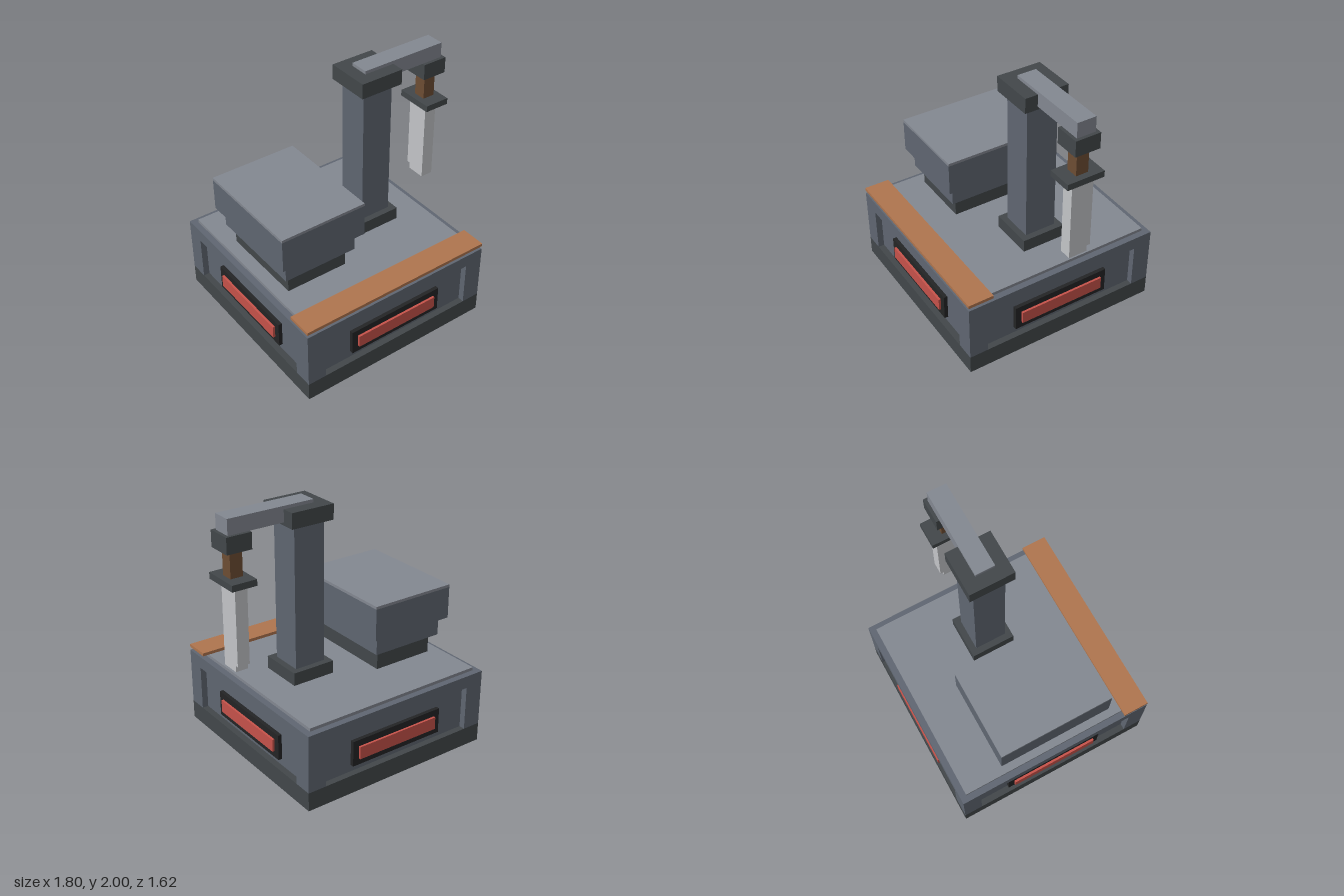
import * as THREE from 'three';

const flat = (name, color) => {
  const m = new THREE.MeshStandardMaterial({ color });
  m.name = name;
  return m;
};

export function createModel() {
  const model = new THREE.Group();
  model.name = 'pedestalWithSwordStand';

  const charcoal = flat('charcoal', 0x42474a);
  const slate = flat('slate', 0x5f6671);
  const lightGrey = flat('lightGrey', 0x838891);
  const copper = flat('copper', 0xaf754e);
  const black = flat('black', 0x232425);
  const red = flat('red', 0xc6524a);
  const brown = flat('brown', 0x6d4d33);
  const steel = flat('steel', 0xc3c5c8);

  // Box given by its extents along x, y and z
  const block = (parent, name, mat, [x0, x1], [y0, y1], [z0, z1]) => {
    const mesh = new THREE.Mesh(new THREE.BoxGeometry(x1 - x0, y1 - y0, z1 - z0), mat);
    mesh.position.set((x0 + x1) / 2, (y0 + y1) / 2, (z0 + z1) / 2);
    mesh.name = name;
    parent.add(mesh);
    return mesh;
  };
  const span = (half) => [-half, half];
  const group = (name, x = 0, z = 0) => {
    const g = new THREE.Group();
    g.name = name;
    g.position.set(x, 0, z);
    model.add(g);
    return g;
  };

  // Square pedestal: plinth, recessed core, corner posts, rim and top plate
  const base = group('pedestal', -0.09);
  block(base, 'plinth', charcoal, span(0.81), [0, 0.15], span(0.81));
  block(base, 'core', slate, span(0.76), [0.15, 0.51], span(0.76));
  block(base, 'rim', slate, span(0.81), [0.51, 0.61], span(0.81));
  block(base, 'topPlate', lightGrey, span(0.76), [0.61, 0.635], span(0.76));
  block(base, 'frontPlank', copper, span(0.81), [0.635, 0.66], [0.605, 0.81]);
  for (const sx of [-1, 1]) {
    for (const sz of [-1, 1]) {
      const post = block(base, 'cornerPost', slate, span(0.075), [0.15, 0.51], span(0.075));
      post.position.x = sx * 0.735;
      post.position.z = sz * 0.735;
    }
  }

  // Glowing window in the recess of each side
  for (let i = 0; i < 4; i++) {
    const side = new THREE.Group();
    side.name = 'sideWindow';
    side.rotation.y = (i * Math.PI) / 2;
    base.add(side);
    block(side, 'windowFrame', black, span(0.405), [0.205, 0.41], [0.76, 0.79]);
    block(side, 'windowPane', red, span(0.355), [0.257, 0.358], [0.79, 0.808]);
  }

  // Stepped anvil-like block, widening upwards
  const anvil = group('steppedBlock', -0.495);
  block(anvil, 'foot', charcoal, span(0.253), [0.635, 0.79], span(0.354));
  block(anvil, 'waist', slate, span(0.303), [0.79, 0.94], span(0.405));
  block(anvil, 'head', slate, span(0.354), [0.94, 1.195], span(0.455));
  block(anvil, 'lid', lightGrey, span(0.354), [1.195, 1.217], span(0.455));

  // Column with foot, cap and overhanging arm
  const stand = group('stand', 0.238, -0.025);
  block(stand, 'columnFoot', charcoal, span(0.177), [0.635, 0.737], span(0.177));
  block(stand, 'column', slate, span(0.127), [0.737, 1.855], span(0.127));
  block(stand, 'columnCap', charcoal, span(0.177), [1.855, 1.975], span(0.177));
  block(stand, 'arm', lightGrey, [-0.076, 0.632], [1.88, 2], span(0.076));

  // Sword hanging from the arm, with a stepped tip
  const sword = group('sword', 0.795, -0.025);
  block(sword, 'pommel', charcoal, span(0.101), [1.753, 1.88], span(0.101));
  block(sword, 'grip', brown, span(0.05), [1.55, 1.753], span(0.05));
  block(sword, 'guard', charcoal, span(0.101), [1.5, 1.55], span(0.152));
  block(sword, 'blade', steel, span(0.05), [0.84, 1.5], [-0.073, 0.078]);
  block(sword, 'bladeEdge', steel, span(0.05), [0.89, 1.5], [-0.101, -0.073]);

  return model;
}
